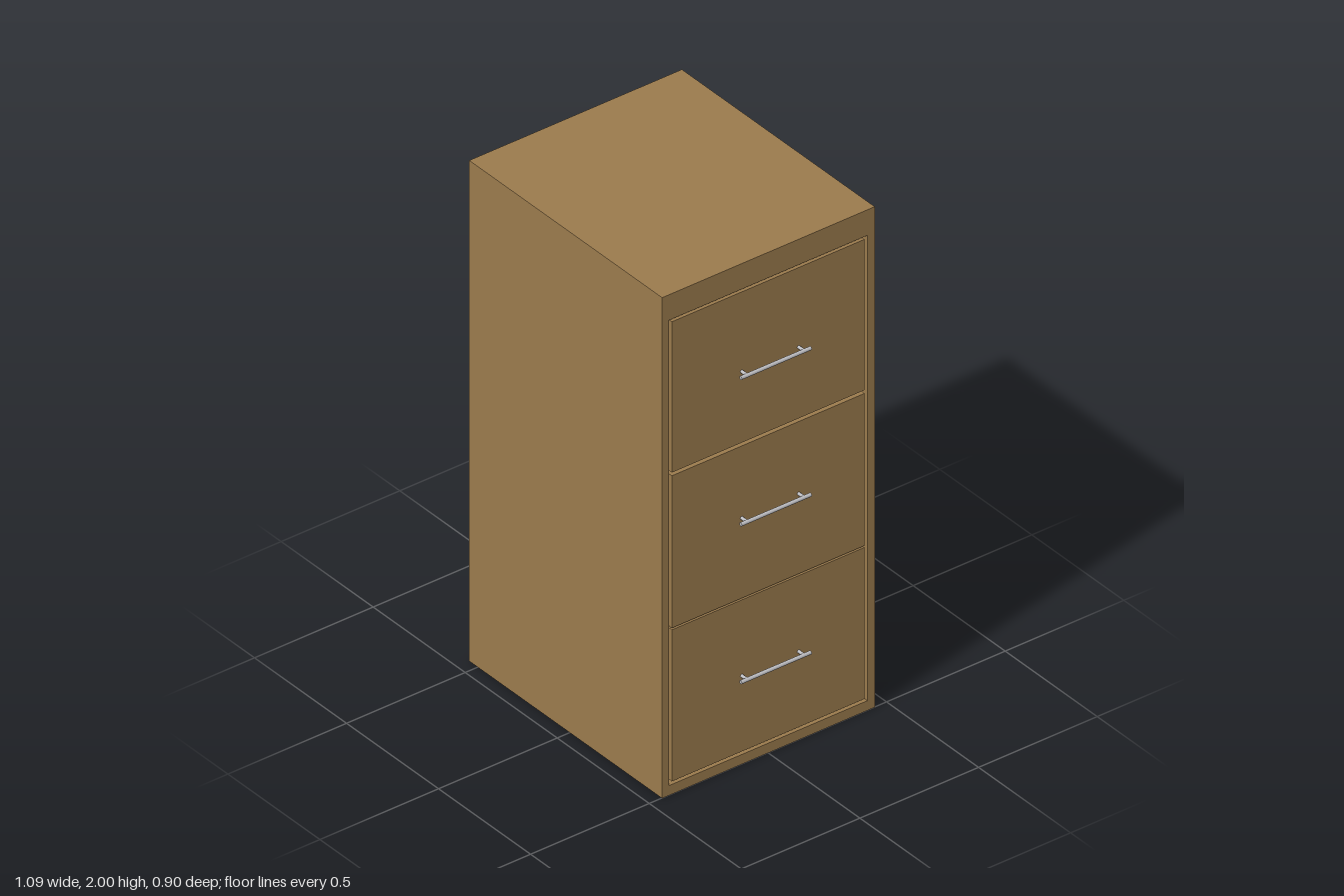
import * as THREE from 'three';

const wood = new THREE.MeshStandardMaterial({ color: 0x9b7b4d });
wood.name = 'wood';
const dark = new THREE.MeshStandardMaterial({ color: 0x2a2a2a });
dark.name = 'darkInterior';
const metal = new THREE.MeshStandardMaterial({ color: 0xbcbcc0 });
metal.name = 'handleMetal';

const BACK = -0.545, RECESS = 0.44, FRONT = 0.503, HALF = 0.448, HEIGHT = 2, BASE = 0.001;

function add(parent, name, geometry, material) {
  const mesh = new THREE.Mesh(geometry, material);
  mesh.name = name;
  parent.add(mesh);
  return mesh;
}

// Box given by its low and high corners
function block(parent, name, material, [x0, y0, z0], [x1, y1, z1]) {
  const mesh = add(parent, name, new THREE.BoxGeometry(x1 - x0, y1 - y0, z1 - z0), material);
  mesh.position.set((x0 + x1) / 2, (y0 + y1) / 2, (z0 + z1) / 2);
  return mesh;
}

// Bar pull on two posts, centred on its own origin at the drawer face
function makeHandle() {
  const handle = new THREE.Group();
  handle.name = 'handle';
  const bar = add(handle, 'handleBar', new THREE.CylinderGeometry(0.007, 0.007, 0.295, 20), metal);
  bar.rotation.x = Math.PI / 2;
  bar.position.x = 0.03;
  for (const z of [-0.12, 0.12]) {
    const post = add(handle, 'handlePost', new THREE.CylinderGeometry(0.006, 0.006, 0.03, 16), metal);
    post.rotation.z = Math.PI / 2;
    post.position.set(0.015, 0, z);
  }
  return handle;
}

export function createModel() {
  const cabinet = new THREE.Group();
  cabinet.name = 'filingCabinet';

  // Carcass behind the drawer fronts
  block(cabinet, 'carcass', wood, [BACK, BASE, -HALF], [RECESS, HEIGHT, HALF]);

  // Frame around the drawer opening, extruded towards +x
  const outline = new THREE.Shape([
    new THREE.Vector2(-HALF, BASE), new THREE.Vector2(HALF, BASE),
    new THREE.Vector2(HALF, HEIGHT), new THREE.Vector2(-HALF, HEIGHT),
  ]);
  outline.holes.push(new THREE.Path([
    new THREE.Vector2(-0.419, 0.04), new THREE.Vector2(-0.419, 1.898),
    new THREE.Vector2(0.417, 1.898), new THREE.Vector2(0.417, 0.04),
  ]));
  const frameGeometry = new THREE.ExtrudeGeometry(outline, { depth: FRONT - RECESS, bevelEnabled: false });
  const frame = add(cabinet, 'frontFrame', frameGeometry, wood);
  frame.rotation.y = Math.PI / 2;
  frame.position.x = RECESS;

  // Dark lining seen through the gaps
  block(cabinet, 'recessLining', dark, [RECESS, 0.04, -0.417], [RECESS + 0.008, 1.898, 0.419]);

  // Dark underside
  const underside = add(cabinet, 'underside', new THREE.PlaneGeometry(FRONT - BACK, 2 * HALF), dark);
  underside.rotation.x = Math.PI / 2;
  underside.position.x = (FRONT + BACK) / 2;

  // Drawer fronts: bottom, top and handle height
  const drawers = [[0.052, 0.657, 0.355], [0.664, 1.272, 0.985], [1.285, 1.887, 1.57]];
  for (const [bottom, top, handleY] of drawers) {
    const drawer = new THREE.Group();
    drawer.name = 'drawer';
    block(drawer, 'drawerFront', wood, [RECESS, bottom, -0.405], [FRONT, top, 0.407]);
    const handle = makeHandle();
    handle.position.set(FRONT, handleY, -0.007);
    drawer.add(handle);
    cabinet.add(drawer);
  }
  return cabinet;
}
